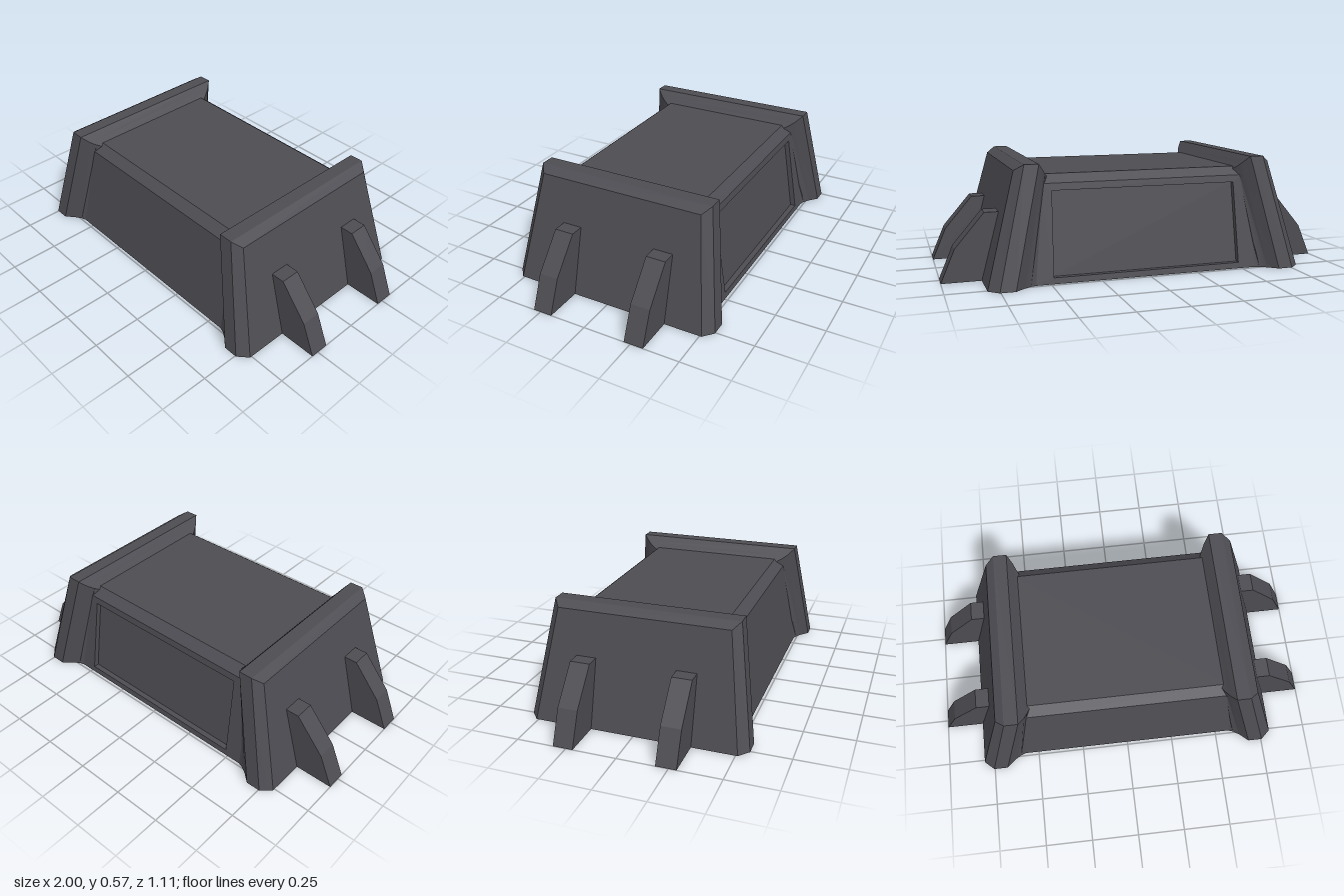
import * as THREE from 'three';
import { toCreasedNormals } from 'three/addons/utils/BufferGeometryUtils.js';

// Skin a series of four-cornered loops; optionally cap either end or skip one side of the first strip
function skin(loops, { capFirst = false, capLast = false, skipSide = -1 } = {}) {
  const pos = [];
  const quad = (a, b, c, d) => pos.push(...a, ...b, ...c, ...a, ...c, ...d);
  for (let j = 0; j < loops.length - 1; j++) {
    for (let k = 0; k < 4; k++) {
      if (j === 0 && k === skipSide) continue;
      const n = (k + 1) % 4;
      quad(loops[j][k], loops[j][n], loops[j + 1][n], loops[j + 1][k]);
    }
  }
  const first = loops[0], last = loops[loops.length - 1];
  if (capFirst) quad(first[0], first[3], first[2], first[1]);
  if (capLast) quad(...last);
  const geo = new THREE.BufferGeometry();
  geo.setAttribute('position', new THREE.Float32BufferAttribute(pos, 3));
  geo.computeVertexNormals();
  return toCreasedNormals(geo, 0.5);
}

export function createModel() {
  const model = new THREE.Group();
  model.name = 'barrier';
  const slate = new THREE.MeshStandardMaterial({ color: 0x4d4c52, side: THREE.DoubleSide });
  slate.name = 'dark slate';

  const add = (name, geo) => {
    const mesh = new THREE.Mesh(geo, slate);
    mesh.name = name;
    model.add(mesh);
    return mesh;
  };

  // Tapered central block, its back left open for the recessed panel
  const level = (x, y, z) => [[x, y, z], [x, y, -z], [-x, y, -z], [-x, y, z]];
  add('body', skin(
    [level(0.62, 0, 0.485), level(0.53, 0.475, 0.41), level(0.52, 0.515, 0.36)],
    { capFirst: true, capLast: true, skipSide: 1 }));

  // Back wall with a sunken panel: bottom and top rows given as [halfWidth, y, z]
  const wall = ([x0, y0, z0], [x1, y1, z1]) =>
    [[x0, y0, z0], [-x0, y0, z0], [-x1, y1, z1], [x1, y1, z1]];
  add('backPanel', skin([
    wall([0.62, 0, -0.485], [0.53, 0.475, -0.41]),
    wall([0.485, 0.03, -0.48], [0.475, 0.44, -0.4155]),
    wall([0.485, 0.03, -0.452], [0.475, 0.44, -0.39]),
  ], { capLast: true }));

  // End frames: loops run from the sloped outer face, over the chamfer and rim, down to the body
  const ring = ([xb, zb], [xt, yt, zt]) =>
    [[xb, 0, zb], [xt, yt, zt], [xt, yt, -zt], [xb, 0, -zb]];
  const rim = ring([0.68, 0.555], [0.545, 0.575, 0.465]);
  const frameGeo = skin([
    ring([0.805, 0.51], [0.66, 0.545, 0.43]),
    ring([0.755, 0.555], [0.615, 0.575, 0.465]),
    rim,
  ], { capFirst: true });
  const fairingGeo = skin([
    rim,
    ring([0.635, 0.516], [0.518, 0.54, 0.43]),
    ring([0.6, 0.494], [0.503, 0.518, 0.4]),
    ring([0.57, 0.484], [0.49, 0.505, 0.375]),
  ]);

  for (const side of [1, -1]) {
    const label = side > 0 ? 'left' : 'right';
    const turn = side > 0 ? 0 : Math.PI;
    add(label + 'EndFrame', frameGeo).rotation.y = turn;
    add(label + 'Fairing', fairingGeo).rotation.y = turn;

    // Buttress fins bracing each end
    const outline = [[1, 0], [0.93, 0.165], [0.785, 0.335], [0.68, 0.335], [0.68, 0]];
    const shape = new THREE.Shape(outline.map(([x, y]) => new THREE.Vector2(x * side, y)));
    const finGeo = new THREE.ExtrudeGeometry(shape, { depth: 0.1, bevelEnabled: false });
    add(label + 'FrontFin', finGeo).position.z = 0.188;
    add(label + 'BackFin', finGeo).position.z = -0.316;
  }
  return model;
}
